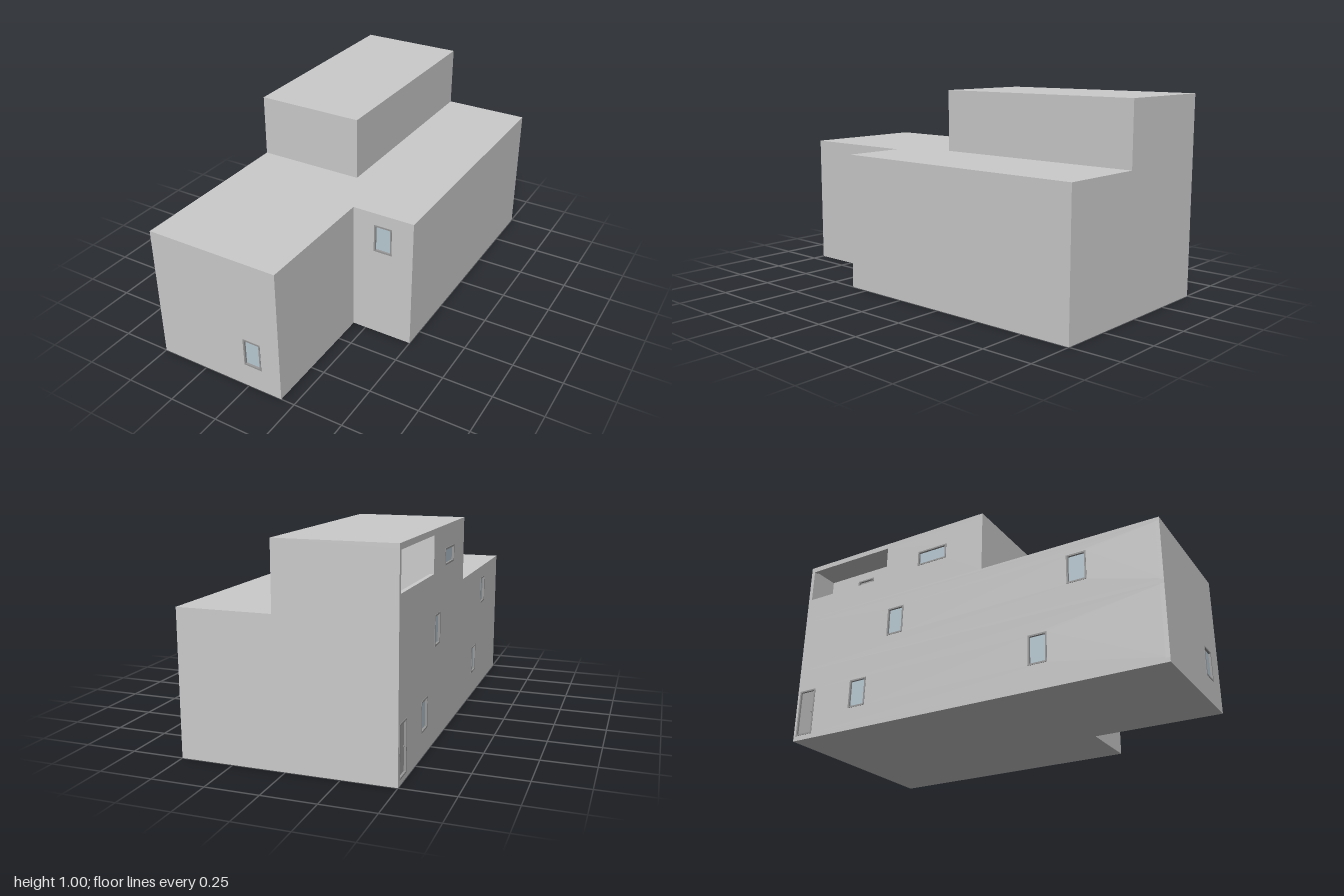
import * as THREE from 'three';

const T = 0.02; // wall thickness
const wallMat = new THREE.MeshStandardMaterial({ color: 0xcccccc, side: THREE.DoubleSide });
const frameMat = new THREE.MeshStandardMaterial({ color: 0x999999 });
const glassMat = new THREE.MeshStandardMaterial({ color: 0xb9cad4 });
const doorMat = new THREE.MeshStandardMaterial({ color: 0xa8a8a8 });

function mesh(geometry, material, name, parent) {
  const m = new THREE.Mesh(geometry, material);
  m.name = name;
  parent.add(m);
  return m;
}

function rect(Type, u0, u1, v0, v1) {
  return new Type([[u0, v0], [u1, v0], [u1, v1], [u0, v1]].map(p => new THREE.Vector2(...p)));
}

const extrude = (shape, depth) => new THREE.ExtrudeGeometry(shape, { depth, bevelEnabled: false });

// Frame ring with a recessed panel, plus a knob on doors
function addFilling(parent, { u0, u1, v0, v1, kind }) {
  const g = new THREE.Group();
  g.name = kind;
  parent.add(g);
  const f = 0.008;
  const ring = rect(THREE.Shape, u0, u1, v0, v1);
  ring.holes.push(rect(THREE.Path, u0 + f, u1 - f, v0 + f, v1 - f));
  mesh(extrude(ring, T + 0.002), frameMat, kind + 'Frame', g).position.z = -T;
  const isDoor = kind === 'door';
  const panel = new THREE.BoxGeometry(u1 - u0 - f, v1 - v0 - f, 0.006);
  mesh(panel, isDoor ? doorMat : glassMat, isDoor ? 'doorLeaf' : 'glass', g)
    .position.set((u0 + u1) / 2, (v0 + v1) / 2, -0.011);
  if (isDoor) {
    mesh(new THREE.SphereGeometry(0.004, 12, 8), frameMat, 'doorKnob', g)
      .position.set(u1 - 0.018, (v0 + v1) / 2, -0.005);
  }
}

// Upright wall from a to b (x, z), its outside on the right of travel; openings in wall coordinates
function addWall(parent, name, a, b, y0, y1, openings = []) {
  const g = new THREE.Group();
  g.name = name;
  const dx = b[0] - a[0], dz = b[1] - a[1];
  g.position.set(a[0], 0, a[1]);
  g.rotation.y = Math.atan2(-dz, dx);
  parent.add(g);
  const shape = rect(THREE.Shape, 0, Math.hypot(dx, dz), y0, y1);
  for (const o of openings) shape.holes.push(rect(THREE.Path, o.u0, o.u1, o.v0, o.v1));
  mesh(extrude(shape, T), wallMat, name + 'Panel', g).position.z = -T;
  for (const o of openings) if (o.kind !== 'opening') addFilling(g, o);
}

function addSlab(parent, name, outline, y0, y1) {
  const shape = new THREE.Shape(outline.map(([x, z]) => new THREE.Vector2(x, -z)));
  const slab = mesh(extrude(shape, y1 - y0), wallMat, name, parent);
  slab.rotation.x = -Math.PI / 2;
  slab.position.y = y0;
}

// Ring of walls along an outline; openings keyed by wall index
function addStorey(parent, name, outline, y0, y1, openings) {
  const g = new THREE.Group();
  g.name = name;
  parent.add(g);
  outline.forEach((a, i) => {
    addWall(g, name + 'Wall', a, outline[(i + 1) % outline.length], y0, y1, openings[i]);
  });
  return g;
}

const opening = (kind, u0, u1, v0, v1) => ({ kind, u0, u1, v0, v1 });

export function createModel() {
  const house = new THREE.Group();
  house.name = 'house';

  // Outlines run front, right, back, left
  const main = [[-0.5, 1], [0.18, 1], [0.18, 0.355], [0.5, 0.355], [0.5, -1], [-0.5, -1]];
  const upper = [[-0.5, 0.1], [0.05, 0.1], [0.05, -1], [-0.5, -1]];

  // Floor and roof slabs
  addSlab(house, 'baseSlab', main, 0, 0.02);
  addSlab(house, 'middleSlab', main, 0.36, 0.38);
  addSlab(house, 'mainRoof', main, 0.668, 0.685);
  addSlab(house, 'upperRoof', upper, 0.98, 1);

  // Ground floor: front window, side door and two side windows
  addStorey(house, 'groundFloor', main, 0.02, 0.36, {
    0: [opening('window', 0.484, 0.578, 0.122, 0.268)],
    5: [
      opening('door', 0.015, 0.115, 0.025, 0.265),
      opening('window', 0.34, 0.44, 0.115, 0.262),
      opening('window', 1.35, 1.445, 0.122, 0.268),
    ],
  });

  // First floor: window in the set-back front and two side windows
  addStorey(house, 'firstFloor', main, 0.38, 0.668, {
    2: [opening('window', 0.113, 0.208, 0.477, 0.622)],
    5: [
      opening('window', 0.55, 0.645, 0.46, 0.608),
      opening('window', 1.55, 1.648, 0.477, 0.622),
    ],
  });

  // Upper floor: loggia opening above its parapet, and a wide window
  const top = addStorey(house, 'upperFloor', upper, 0.685, 0.98, {
    3: [
      opening('opening', T, 0.52, 0.8, 0.973),
      opening('window', 0.72, 0.89, 0.81, 0.89),
    ],
  });

  // Recessed loggia walls with their door
  addWall(top, 'loggiaInnerWall', [-0.345, -1 + T], [-0.345, -0.48], 0.685, 0.98,
    [opening('door', 0.185, 0.29, 0.69, 0.935)]);
  addWall(top, 'loggiaEndWall', [-0.345 + T, -0.48], [-0.5 + T, -0.48], 0.685, 0.98);

  return house;
}
